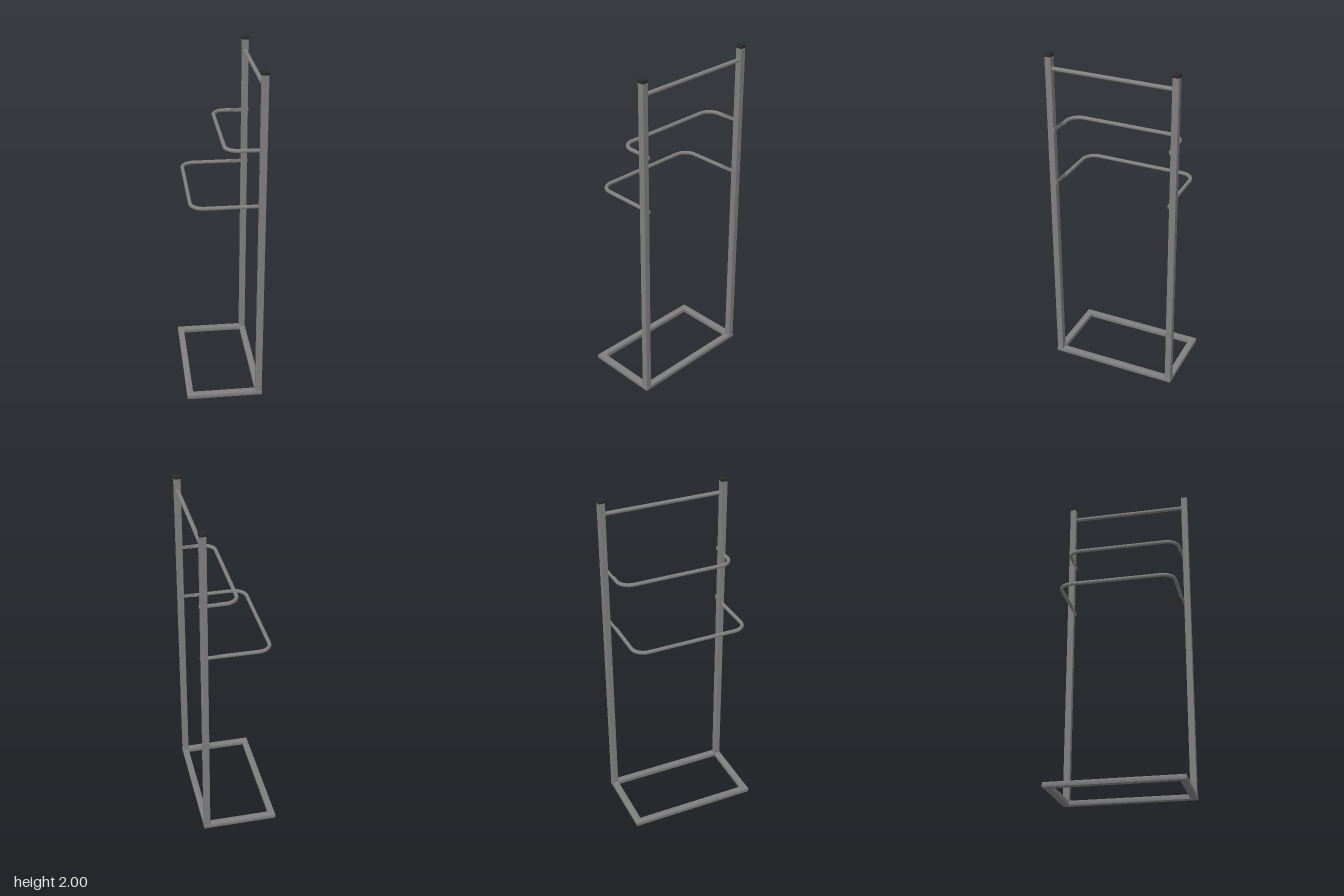
import * as THREE from 'three';
import { toCreasedNormals } from 'three/addons/utils/BufferGeometryUtils.js';
import { RoundedBoxGeometry } from 'three/addons/geometries/RoundedBoxGeometry.js';

const POST_X = 0.205, POST_Z = 0.369, TUBE_R = 0.011;

export function createModel() {
  const model = new THREE.Group();
  const steel = new THREE.MeshStandardMaterial({ color: 0x808080 });
  steel.name = 'steelGrey';
  const plastic = new THREE.MeshStandardMaterial({ color: 0x2a2a2a });
  plastic.name = 'capBlack';

  const add = (name, geometry, material, x = 0, y = 0, z = 0) => {
    const mesh = new THREE.Mesh(geometry, material);
    mesh.name = name;
    mesh.position.set(x, y, z);
    model.add(mesh);
    return mesh;
  };

  // Rectangular floor frame with softened edges
  const bevel = 0.003;
  const rect = (Type, x, z) => new Type([[-x, -z], [x, -z], [x, z], [-x, z]].map(p => new THREE.Vector2(...p)));
  const outline = rect(THREE.Shape, 0.225 - bevel, 0.389 - bevel);
  outline.holes.push(rect(THREE.Path, 0.187 + bevel, 0.35 + bevel));
  const frame = new THREE.ExtrudeGeometry(outline, {
    depth: 0.028 - 2 * bevel, bevelThickness: bevel, bevelSize: bevel, bevelSegments: 2,
  });
  frame.rotateX(-Math.PI / 2);
  add('baseFrame', toCreasedNormals(frame, 0.6), steel, 0, bevel, 0);

  // Square posts with end caps
  for (const [side, s] of [['left', 1], ['right', -1]]) {
    add(side + 'Post', new RoundedBoxGeometry(0.038, 1.984, 0.038, 2, 0.004), steel, POST_X, 0.992, s * POST_Z);
    add(side + 'PostCap', new RoundedBoxGeometry(0.042, 0.02, 0.042, 2, 0.005), plastic, POST_X, 1.99, s * POST_Z);
  }

  // Round bar between the posts
  const bar = new THREE.CylinderGeometry(0.012, 0.012, 0.704, 20);
  bar.rotateX(Math.PI / 2);
  add('topBar', bar, steel, POST_X, 1.912, 0);

  // U-shaped hanging rails, cut to a flat inner face where they meet the posts
  const rail = (name, frontX, y) => {
    const z = 0.343, endX = 0.225, r = 0.075, k = r * 0.4477;
    const v = (x, zz) => new THREE.Vector3(x, 0, zz);
    const path = new THREE.CurvePath();
    path.add(new THREE.LineCurve3(v(endX, z), v(frontX + r, z)));
    path.add(new THREE.CubicBezierCurve3(v(frontX + r, z), v(frontX + k, z), v(frontX, z - k), v(frontX, z - r)));
    path.add(new THREE.LineCurve3(v(frontX, z - r), v(frontX, r - z)));
    path.add(new THREE.CubicBezierCurve3(v(frontX, r - z), v(frontX, k - z), v(frontX + k, -z), v(frontX + r, -z)));
    path.add(new THREE.LineCurve3(v(frontX + r, -z), v(endX, -z)));
    const section = new THREE.Shape().absarc(0, 0, TUBE_R, 0, Math.PI * 2);
    const geometry = new THREE.ExtrudeGeometry(section, {
      steps: 220, curveSegments: 16, bevelEnabled: false, extrudePath: path,
    });
    const p = geometry.attributes.position;
    for (let i = 0; i < p.count; i++) {
      const t = THREE.MathUtils.clamp((p.getX(i) - 0.11) / 0.02, 0, 1);
      if (t === 0) continue;
      const inner = z - TUBE_R * (1 - t);
      p.setZ(i, Math.sign(p.getZ(i)) * Math.max(Math.abs(p.getZ(i)), inner));
    }
    add(name, toCreasedNormals(geometry, 0.6), steel, 0, y, 0);
  };
  rail('upperRail', 0.006, 1.557);
  rail('lowerRail', -0.184, 1.228);

  return model;
}
